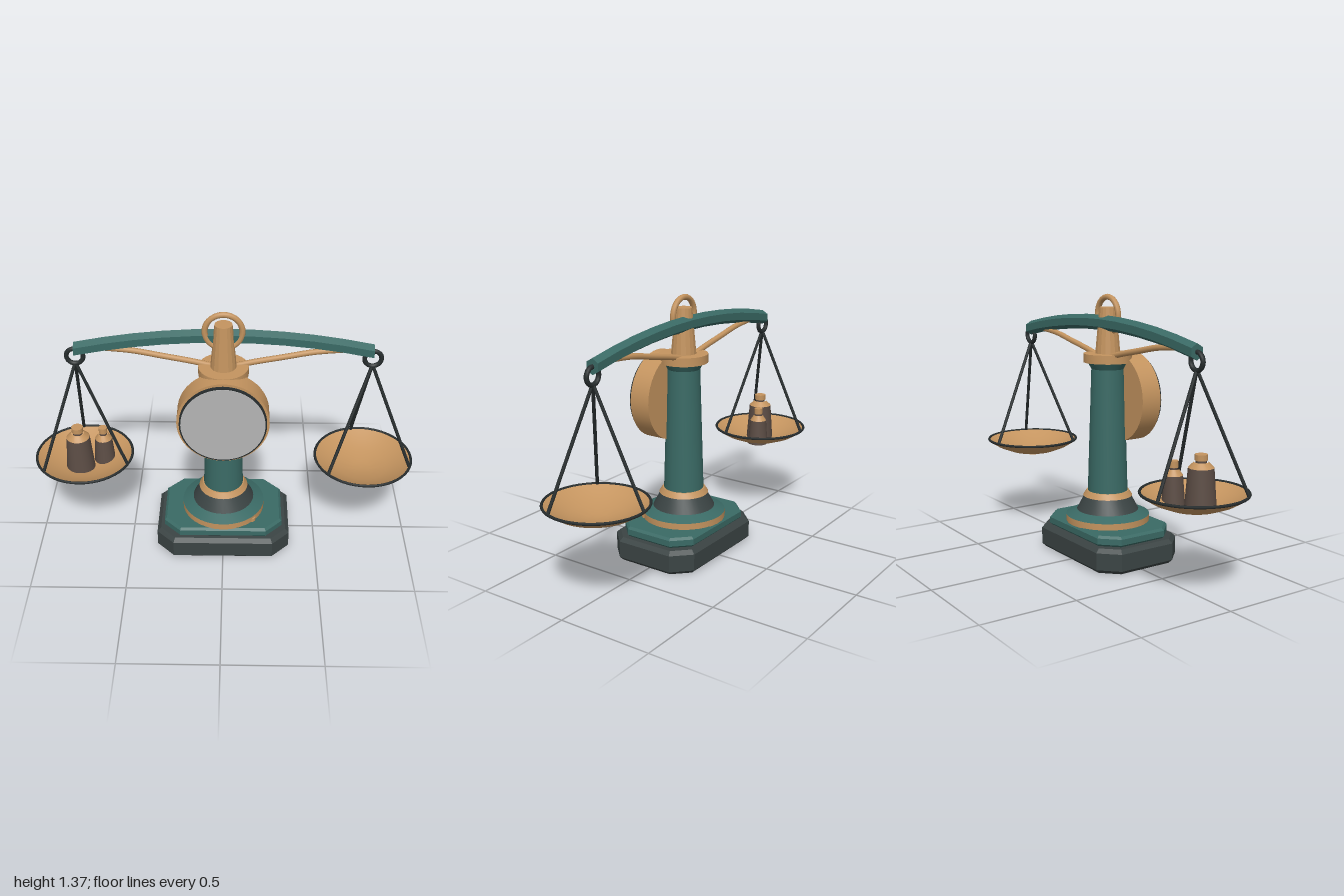
import * as THREE from 'three';
import { toCreasedNormals } from 'three/addons/utils/BufferGeometryUtils.js';

const material = (name, color) => {
  const m = new THREE.MeshStandardMaterial({ color });
  m.name = name;
  return m;
};

export function createModel() {
  const teal = material('teal paint', 0x3a6a65);
  const gold = material('brass', 0xc4945f);
  const charcoal = material('charcoal iron', 0x3b4444);
  const black = material('dark steel', 0x272d2e);
  const grey = material('dial grey', 0xb4b4b4);
  const brown = material('weight iron', 0x5c4d45);

  const model = new THREE.Group();
  model.name = 'balanceScale';
  const Z = 0.02; // axis of the stand
  const BZ = -0.006; // plane of the beam and pans

  const add = (parent, name, geometry, mat, x = 0, y = 0, z = 0) => {
    const mesh = new THREE.Mesh(geometry, mat);
    mesh.name = name;
    mesh.position.set(x, y, z);
    parent.add(mesh);
    return mesh;
  };
  const lathe = (points, sides = 32) =>
    toCreasedNormals(new THREE.LatheGeometry(points.map(p => new THREE.Vector2(...p)), sides), 0.35);

  // Rectangular slab with cut corners and bevelled edges
  const slab = (hx, hz, cut, height, bevel) => {
    const a = hx - bevel, b = hz - bevel;
    const shape = new THREE.Shape([
      [a, -b + cut], [a, b - cut], [a - cut, b], [-a + cut, b],
      [-a, b - cut], [-a, -b + cut], [-a + cut, -b], [a - cut, -b],
    ].map(p => new THREE.Vector2(...p)));
    return new THREE.ExtrudeGeometry(shape, {
      depth: height - 2 * bevel, bevelEnabled: true, bevelSegments: 1,
      bevelSize: bevel, bevelThickness: bevel,
    }).translate(0, 0, bevel).rotateX(-Math.PI / 2);
  };

  // Round rod between two points
  const rod = (parent, name, from, to, radius, mat) => {
    const a = new THREE.Vector3(...from), b = new THREE.Vector3(...to);
    const mesh = add(parent, name, new THREE.CylinderGeometry(radius, radius, a.distanceTo(b), 8), mat);
    mesh.position.copy(a).lerp(b, 0.5);
    mesh.quaternion.setFromUnitVectors(new THREE.Vector3(0, 1, 0), b.sub(a).normalize());
  };

  // Base
  add(model, 'base', slab(0.355, 0.25, 0.08, 0.128, 0.02), charcoal, 0, 0, Z);
  add(model, 'plinth', slab(0.315, 0.22, 0.08, 0.055, 0.012), teal, 0, 0.127, Z);
  add(model, 'baseBolt', new THREE.CylinderGeometry(0.019, 0.019, 0.022, 12), gold, 0.155, 0.191, 0.16);

  // Stand, stacked from the bottom up
  const stand = new THREE.Group();
  stand.name = 'stand';
  stand.position.z = Z;
  model.add(stand);
  add(stand, 'footRing', lathe([[0, 0.18], [0.22, 0.18], [0.22, 0.215]]), gold);
  add(stand, 'footShoulder', lathe([[0.22, 0.215], [0.163, 0.24]]), teal);
  add(stand, 'footCone', lathe([[0.163, 0.24], [0.122, 0.315]]), charcoal);
  add(stand, 'collar', lathe([[0.122, 0.312], [0.13, 0.314], [0.112, 0.342], [0, 0.342]]), gold);
  add(stand, 'column', lathe([[0.105, 0.34], [0.085, 0.985], [0.107, 1.022]]), teal);
  add(stand, 'capital', lathe([[0, 1.02], [0.126, 1.02], [0.126, 1.065], [0, 1.065]]), gold);
  add(stand, 'post', lathe([[0.066, 1.06], [0.044, 1.3], [0, 1.3]], 16), gold);
  add(stand, 'topRing', new THREE.TorusGeometry(0.092, 0.015, 8, 36), gold, 0, 1.26, 0);

  // Dial on the front of the column
  const disc = (radius, depth) => new THREE.CylinderGeometry(radius, radius, depth, 48).rotateX(Math.PI / 2);
  const dial = new THREE.Group();
  dial.name = 'dial';
  dial.position.set(0, 0.832, 0);
  model.add(dial);
  add(dial, 'dialCase', disc(0.232, 0.112), gold, 0, 0, 0.13);
  add(dial, 'dialRim', disc(0.219, 0.016), black, 0, 0, 0.193);
  add(dial, 'dialFace', disc(0.211, 0.004), grey, 0, 0, 0.202);

  // Hexagonal beam, bowed downwards toward both ends
  const beam = new THREE.CylinderGeometry(0.039, 0.039, 1.48, 6, 10)
    .rotateY(Math.PI / 6).rotateZ(Math.PI / 2);
  const pos = beam.attributes.position;
  for (let i = 0; i < pos.count; i++) pos.setY(i, pos.getY(i) - 0.146 * pos.getX(i) ** 2);
  add(model, 'beam', toCreasedNormals(beam, 0.3), teal, 0, 1.222, BZ);

  // Pan profile: outside from the centre to the rim, then back along the inside
  const panProfile = [
    [0, 0.404], [0.05, 0.406], [0.13, 0.425], [0.2, 0.453], [0.257, 0.488],
    [0.257, 0.499], [0.2, 0.465], [0.13, 0.437], [0.05, 0.418], [0, 0.416],
  ];

  for (const side of [-1, 1]) {
    const name = side < 0 ? 'right' : 'left';
    const x = side * 0.74;

    // Curved brace under the beam
    const curve = new THREE.CatmullRomCurve3([
      [0.05, 1.05], [0.15, 1.075], [0.3, 1.105], [0.45, 1.135], [0.6, 1.15],
    ].map(p => new THREE.Vector3(side * p[0], p[1], BZ)));
    add(model, name + 'Brace', new THREE.TubeGeometry(curve, 16, 0.015, 8), gold);

    // Hanging ring, pan and three suspension rods
    const hanger = new THREE.Group();
    hanger.name = name + 'Hanger';
    hanger.position.set(x, 0, BZ);
    model.add(hanger);
    add(hanger, 'hangingRing', new THREE.TorusGeometry(0.042, 0.012, 8, 24), black, 0, 1.1, 0);
    add(hanger, 'pan', lathe(panProfile, 40), gold);
    add(hanger, 'panRim', new THREE.TorusGeometry(0.254, 0.007, 6, 48).rotateX(Math.PI / 2), black, 0, 0.494, 0);
    add(hanger, 'panBoss', new THREE.CylinderGeometry(0.035, 0.035, 0.006, 20), gold, 0, 0.404, 0);
    for (let i = 0; i < 3; i++) {
      const a = 0.36 + i * Math.PI * 2 / 3;
      rod(hanger, 'suspensionRod', [0, 1.065, 0],
        [0.25 * Math.cos(a), 0.495, 0.25 * Math.sin(a)], 0.0085, black);
    }
  }

  // Weights standing in the right pan
  const weight = (name, x, z, y, r, body, top) => {
    const g = new THREE.Group();
    g.name = name;
    g.position.set(x, 0, z);
    model.add(g);
    const s = body + (top - body) * 0.42;
    add(g, 'weightBody', lathe([[0, y], [r, y], [r * 0.8, body]], 24), brown);
    add(g, 'weightShoulder', lathe([[r * 0.8, body], [r * 0.45, s]], 24), gold);
    add(g, 'weightNeck', lathe([[r * 0.34, s - 0.005], [r * 0.34, s + 0.012]], 20), brown);
    add(g, 'weightKnob', lathe([[0, s + 0.008], [r * 0.4, s + 0.008], [r * 0.4, top], [0, top]], 20), gold);
  };
  weight('largeWeight', -0.765, 0.01, 0.415, 0.076, 0.615, 0.677);
  weight('smallWeight', -0.642, -0.052, 0.425, 0.056, 0.563, 0.632);

  return model;
}
